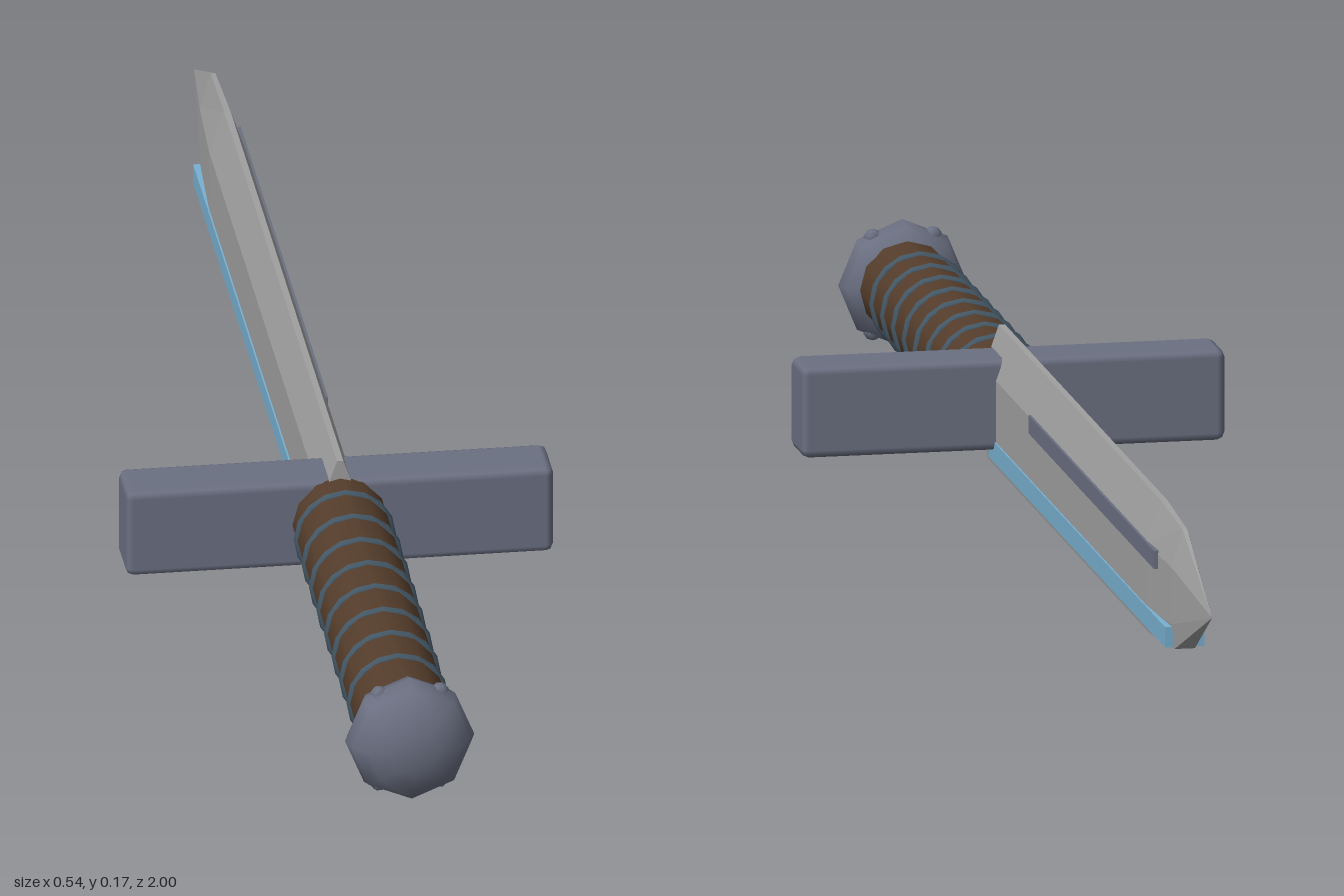
import * as THREE from 'three';
import { RoundedBoxGeometry } from 'three/addons/geometries/RoundedBoxGeometry.js';

const mat = (name, color) => Object.assign(new THREE.MeshStandardMaterial({ color }), { name });

// Closed loft through equal-length rings of [x, y, z], with faceted normals
function loft(rings) {
  const pos = [], n = rings[0].length;
  const tri = (a, b, c) => pos.push(...a, ...b, ...c);
  for (let r = 0; r < rings.length - 1; r++) {
    for (let i = 0; i < n; i++) {
      const j = (i + 1) % n, A = rings[r], B = rings[r + 1];
      tri(A[i], B[j], B[i]);
      tri(A[i], A[j], B[j]);
    }
  }
  const first = rings[0], last = rings[rings.length - 1];
  for (let i = 1; i < n - 1; i++) {
    tri(first[0], first[i + 1], first[i]);
    tri(last[0], last[i], last[i + 1]);
  }
  // Rings run counter-clockwise seen from +z while advancing to -z
  for (let k = 0; k < pos.length; k += 9) {
    for (let c = 0; c < 3; c++) [pos[k + 3 + c], pos[k + 6 + c]] = [pos[k + 6 + c], pos[k + 3 + c]];
  }
  const g = new THREE.BufferGeometry();
  g.setAttribute('position', new THREE.Float32BufferAttribute(pos, 3));
  g.computeVertexNormals();
  return g;
}

export function createModel() {
  const sword = new THREE.Group();
  sword.name = 'sword';
  const steel = mat('blade steel', 0xa0a0a0);
  const iron = mat('dark iron', 0x6b7082);
  const leather = mat('brown leather', 0x553d2b);
  const cord = mat('slate cord', 0x465a68);
  const blue = mat('blue edge', 0x78b0d0);
  const midY = 0.085;

  const add = (name, geometry, material, x = 0, y = midY, z = 0) => {
    const m = new THREE.Mesh(geometry, material);
    m.name = name;
    m.position.set(x, y, z);
    sword.add(m);
    return m;
  };

  // Blade: ridged section that narrows to a point
  const half = [[0.018, -0.085], [0.023, -0.05], [0.023, 0.03], [0.004, 0.084]];
  const section = [...half, ...half.slice().reverse().map(([x, y]) => [-x, y])];
  const stations = [[0.32, 1, 1], [-0.7, 1, 1], [-0.83, 0.72, 0.9], [-1, 0.01, 0.01]];
  add('blade', loft(stations.map(([z, sx, sy]) => section.map(([x, y]) => [x * sx, y * sy, z]))), steel);

  // Cutting edge strip and the inlay on one face
  add('edgeStrip', new THREE.BoxGeometry(0.05, 0.026, 1.11), blue, 0, 0.024, -0.275);
  add('bladeInlay', new THREE.BoxGeometry(0.008, 0.023, 0.79), iron, 0.021, 0.107, -0.365);

  // Crossguard
  add('crossguard', new RoundedBoxGeometry(0.536, 0.116, 0.078, 1, 0.01), iron, 0, 0.084, 0.282);

  // Grip with cord rings
  add('grip', new THREE.CylinderGeometry(0.06, 0.06, 0.6, 12).rotateX(Math.PI / 2), leather, 0, midY, 0.615);
  for (let i = 0; i < 8; i++) {
    add('gripRing', new THREE.TorusGeometry(0.058, 0.006, 6, 16), cord, 0, midY, 0.362 + i * 0.068);
  }

  // Pommel: flattened eight-sided knob with four studs
  const knob = new THREE.SphereGeometry(0.081, 8, 8).rotateX(Math.PI / 2).scale(1, 1, 0.64);
  add('pommel', knob, iron, 0, midY, 0.948);
  for (const sx of [-1, 1]) {
    for (const sy of [-1, 1]) {
      add('pommelStud', new THREE.SphereGeometry(0.012, 6, 5), iron, sx * 0.038, midY + sy * 0.059, 0.945);
    }
  }
  return sword;
}
